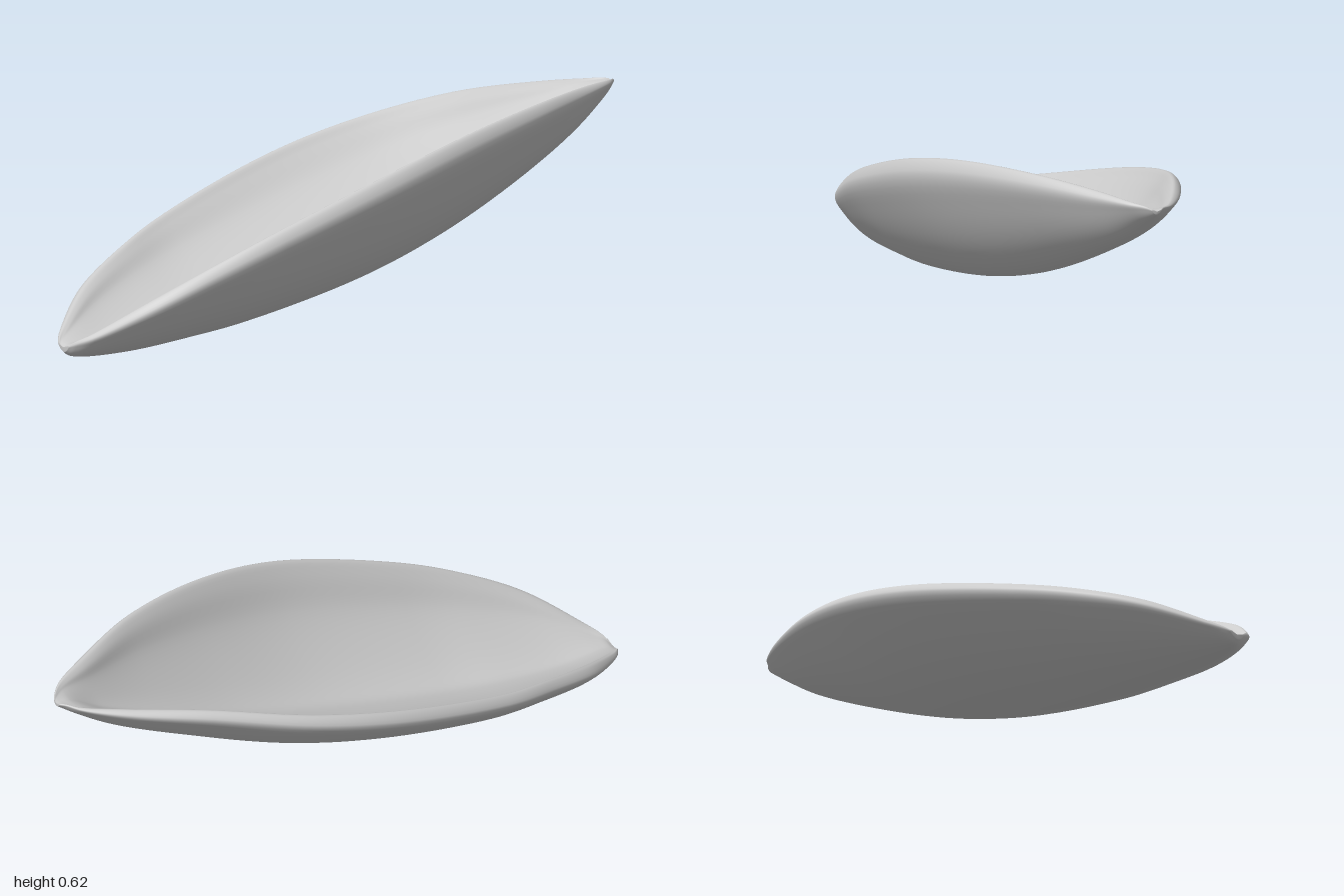
import * as THREE from 'three';

// Stations along the length: x, front edge z, back edge z, front rim y, back rim y, keel y, keel z
const STATIONS = [
  [-1.0, 0.055, 0.0, 0.05, 0.048, 0.028, 0.03],
  [-0.985, 0.085, -0.025, 0.068, 0.06, 0.015, 0.03],
  [-0.95, 0.13, -0.065, 0.095, 0.08, 0.007, 0.035],
  [-0.8, 0.25, -0.19, 0.205, 0.16, 0.003, 0.04],
  [-0.6, 0.32, -0.28, 0.31, 0.235, 0.017, 0.05],
  [-0.4, 0.36, -0.345, 0.395, 0.295, 0.04, 0.065],
  [0.0, 0.39, -0.39, 0.53, 0.41, 0.12, 0.085],
  [0.3, 0.353, -0.357, 0.595, 0.485, 0.21, 0.08],
  [0.6, 0.27, -0.25, 0.622, 0.55, 0.335, 0.065],
  [0.83, 0.16, -0.135, 0.614, 0.572, 0.45, 0.045],
  [0.95, 0.09, -0.05, 0.602, 0.58, 0.532, 0.03],
  [0.985, 0.055, -0.01, 0.594, 0.585, 0.558, 0.025],
  [1.0, 0.035, 0.005, 0.585, 0.583, 0.57, 0.02],
];

// Control points of one closed cross-section: keel, front wall and rim, valley, back wall and rim
function section([x, zf, zb, yf, yb, yk, zk]) {
  const width = (zf - zb) / 2;
  const t = 0.055 * Math.min(1, width / 0.18);
  const depth = (yf + yb) / 2 - yk;
  const yv = yk + Math.min(0.7 * depth, 0.04 + 0.08 * depth);
  const zv = zk - Math.min(0.03, width * 0.1);
  const side = (ze, yr) => {
    const s = Math.sign(ze - zk);
    const D = yr - yk;
    const out = (f, g) => [zk + (ze - zk) * f, yk + D * g];
    const zi = ze - s * t;
    const inn = (f, g) => [zv + (zi - zv) * f, yv + (yk + D * 0.9 - yv) * g];
    return {
      outer: [out(0.28, 0.07), out(0.57, 0.27), out(0.85, 0.6), out(1, 0.88)],
      top: [ze - s * t * 0.45, yr],
      inner: [inn(1, 1), inn(0.82, 0.65), inn(0.5, 0.3), inn(0.2, 0.07)],
    };
  };
  const f = side(zf, yf);
  const b = side(zb, yb);
  return [
    [zk, yk], ...f.outer, f.top, ...f.inner,
    [zv, yv], ...b.inner.reverse(), b.top, ...b.outer.reverse(),
  ].map(([z, y]) => new THREE.Vector3(x, y, z));
}

// Smooth skin lofted through the cross-sections
function loft(sections, rows, cols) {
  const rails = sections[0].map((_, k) => new THREE.CatmullRomCurve3(sections.map((s) => s[k])));
  const pos = [];
  const index = [];
  for (let i = 0; i <= rows; i++) {
    const loop = new THREE.CatmullRomCurve3(rails.map((r) => r.getPoint(i / rows)), true);
    for (let j = 0; j < cols; j++) pos.push(...loop.getPoint(j / cols).toArray());
  }
  for (let i = 0; i < rows; i++) {
    for (let j = 0; j < cols; j++) {
      const a = i * cols + j;
      const b = i * cols + ((j + 1) % cols);
      index.push(a, a + cols, b, b, a + cols, b + cols);
    }
  }
  // Closed tips
  for (const row of [0, rows]) {
    const c = new THREE.Vector3();
    for (let j = 0; j < cols; j++) c.add(new THREE.Vector3().fromArray(pos, (row * cols + j) * 3));
    const centre = pos.length / 3;
    pos.push(...c.divideScalar(cols).toArray());
    for (let j = 0; j < cols; j++) {
      const a = row * cols + j;
      const b = row * cols + ((j + 1) % cols);
      index.push(centre, ...(row === 0 ? [a, b] : [b, a]));
    }
  }
  const geo = new THREE.BufferGeometry();
  geo.setAttribute('position', new THREE.Float32BufferAttribute(pos, 3));
  geo.setIndex(index);
  geo.computeVertexNormals();
  return geo;
}

export function createModel() {
  const group = new THREE.Group();
  group.name = 'leafDish';
  const shell = new THREE.Mesh(
    loft(STATIONS.map(section), 96, 100),
    new THREE.MeshStandardMaterial({ color: 0xcccccc }),
  );
  shell.name = 'shell';
  group.add(shell);
  return group;
}
